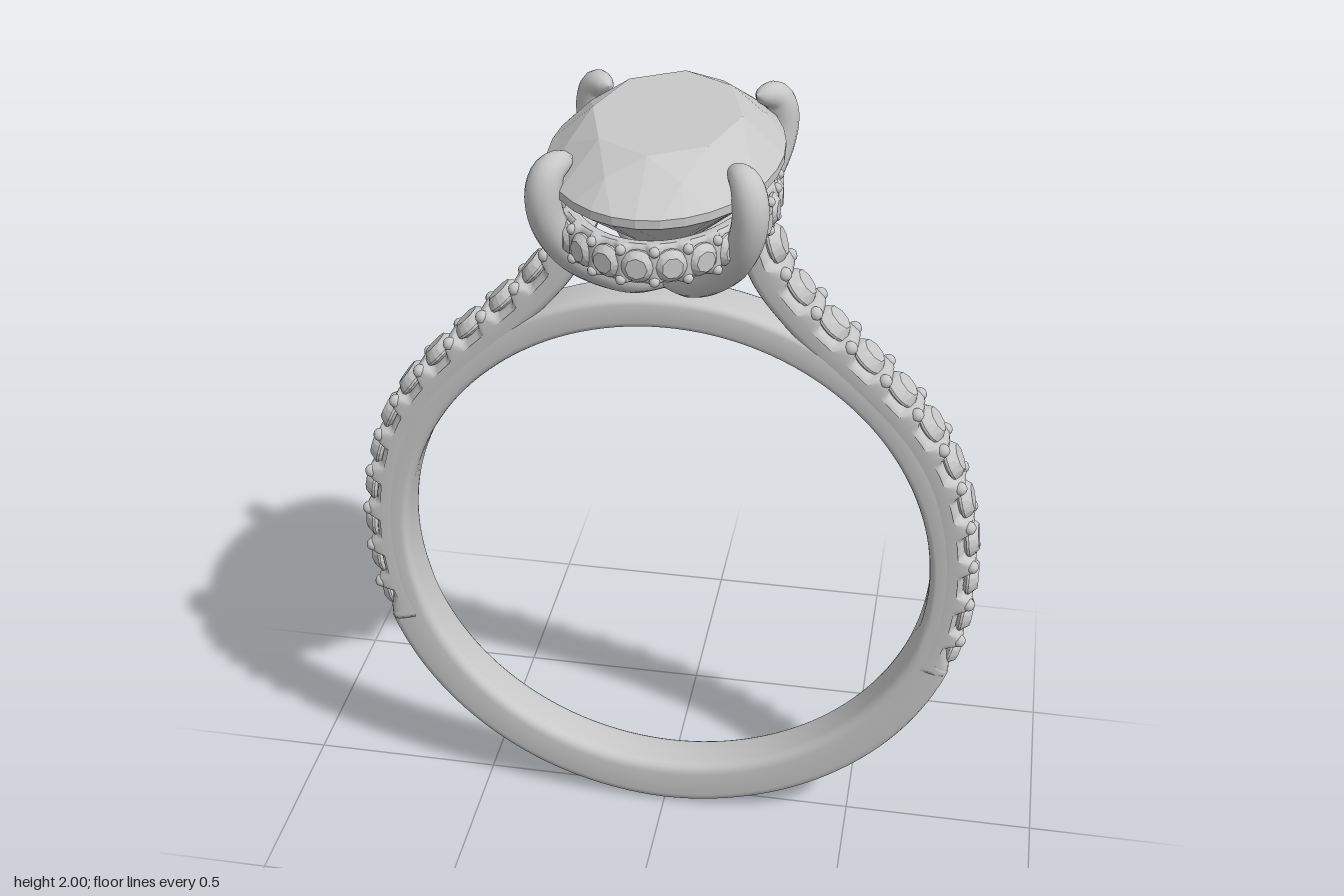
import * as THREE from 'three';

const V = (x, y, z) => new THREE.Vector3(x, y, z);
const metal = new THREE.MeshStandardMaterial({ color: 0xc8c8c8 });
metal.name = 'silver grey';

function mesh(name, geometry) {
  const m = new THREE.Mesh(geometry, metal);
  m.name = name;
  return m;
}

// rounded-rectangle section: w across, v outward, from -depth to 0
function roundedSection(halfW, depth, power = 0.45, count = 24) {
  const soft = (x) => Math.sign(x) * Math.abs(x) ** power;
  return Array.from({ length: count }, (_, j) => {
    const a = (j / count) * Math.PI * 2;
    return [halfW * soft(Math.cos(a)), (depth / 2) * (soft(Math.sin(a)) - 1)];
  });
}

// frame on a curve: point, tangent and outward normal
function frameAt(curve, u, side) {
  const p = curve.getPointAt(u);
  const n = curve.getTangentAt(u).cross(side).normalize();
  return { p, n };
}

// sweep a changing section along a curve that lies square to side
function sweep(curve, side, steps, closed, section) {
  const pos = [], idx = [];
  const rows = closed ? steps : steps + 1;
  let m = 0;
  for (let i = 0; i < rows; i++) {
    const u = i / steps, { p, n } = frameAt(curve, u, side);
    const pts = section(u);
    m = pts.length;
    for (const [w, v] of pts) {
      const q = p.clone().addScaledVector(side, w).addScaledVector(n, v);
      pos.push(q.x, q.y, q.z);
    }
  }
  for (let i = 0; i < steps; i++) {
    for (let j = 0; j < m; j++) {
      const k = (j + 1) % m, r0 = i * m, r1 = ((i + 1) % rows) * m;
      idx.push(r0 + j, r0 + k, r1 + j, r0 + k, r1 + k, r1 + j);
    }
  }
  if (!closed) {
    for (let j = 1; j < m - 1; j++) {
      const e = steps * m;
      idx.push(0, j + 1, j, e, e + j, e + j + 1);
    }
  }
  const g = new THREE.BufferGeometry();
  g.setAttribute('position', new THREE.Float32BufferAttribute(pos, 3));
  g.setIndex(idx);
  g.computeVertexNormals();
  return g;
}

// faceted brilliant-cut stone with its girdle at y = 0
function brilliant(a, b, crown, depth, rim, perEdge) {
  const pos = [];
  const at = (k, s, y) => {
    const t = (k * Math.PI) / 4;
    return V(a * s * Math.cos(t), y, b * s * Math.sin(t));
  };
  const tri = (up, ...pts) => {
    if (!up) pts.reverse();
    for (const q of pts) pos.push(q.x, q.y, q.z);
  };
  // one half: inner ring, middle ring, then girdle
  const half = (up, inS, inY, midS, midY, rimY) => {
    for (let k = 0; k < 8; k++) {
      const t0 = at(k, inS, inY), t1 = at(k + 1, inS, inY), mid = at(k + 0.5, midS, midY);
      const g0 = at(k, 1, rimY), g1 = at(k + 1, 1, rimY);
      if (inS > 0) {
        tri(up, V(0, inY, 0), t1, t0);
        tri(up, t0, t1, mid);
      }
      tri(up, t0, mid, g0);
      tri(up, t1, g1, mid);
      for (let e = 0; e < perEdge; e++) {
        tri(up, mid, at(k + (e + 1) / perEdge, 1, rimY), at(k + e / perEdge, 1, rimY));
      }
    }
  };
  half(true, 0.64, crown, 0.82, rim + (crown - rim) * 0.56, rim);
  half(false, 0, -depth, 0.3, -depth * 0.74, -rim);
  // girdle band
  for (let i = 0; i < 8 * perEdge; i++) {
    const k0 = i / perEdge, k1 = (i + 1) / perEdge;
    const l0 = at(k0, 1, -rim), l1 = at(k1, 1, -rim), h0 = at(k0, 1, rim), h1 = at(k1, 1, rim);
    tri(true, l0, h0, h1);
    tri(true, l0, h1, l1);
  }
  const g = new THREE.BufferGeometry();
  g.setAttribute('position', new THREE.Float32BufferAttribute(pos, 3));
  g.computeVertexNormals();
  return g;
}

// scalloped rail set with a row of small stones and holding beads
function stoneRow(name, curve, side, closed, o) {
  const group = new THREE.Group();
  group.name = name;
  const base = roundedSection(o.halfW, o.depth);
  const rail = sweep(curve, side, o.count * 14, closed, (u) => {
    const f = (u * o.count) % 1;
    const gap = Math.min(f, 1 - f);
    const cut = o.cut * THREE.MathUtils.smoothstep(gap, 0.1, 0.28);
    return base.map(([w, v]) => [w, v > -o.depth * 0.45 ? v - o.sink - cut : v]);
  });
  group.add(mesh(name + 'Rail', rail));
  const gem = brilliant(o.gem, o.gem, o.rise, o.gem * 0.7, 0.003, 2);
  const bead = new THREE.SphereGeometry(o.bead, 10, 8);
  for (let k = 0; k < o.count; k++) {
    const { p, n } = frameAt(curve, (k + 0.5) / o.count, side);
    const stone = mesh('smallStone', gem);
    stone.position.copy(p).addScaledVector(n, -o.rise);
    stone.quaternion.setFromUnitVectors(V(0, 1, 0), n);
    group.add(stone);
    if (k === 0 && !closed) continue;
    const f = frameAt(curve, k / o.count, side);
    for (const s of [-1, 1]) {
      const b = mesh('bead', bead);
      b.position.copy(f.p).addScaledVector(f.n, -o.bead).addScaledVector(side, s * (o.halfW - o.bead));
      group.add(b);
    }
  }
  return group;
}

class Oval extends THREE.Curve {
  constructor(point) { super(); this.point = point; this.arcLengthDivisions = 400; }
  getPoint(t) { return this.point(t * Math.PI * 2); }
}

export function createModel() {
  const root = new THREE.Group();
  root.name = 'ring';
  const Z = V(0, 0, 1), Y = V(0, 1, 0);

  // finger band, thicker at the bottom
  const inner = new Oval((a) => V(0.672 * Math.sin(a), 0.802 - 0.672 * Math.cos(a), 0));
  root.add(mesh('band', sweep(inner, Z, 144, true, (u) => {
    const deg = Math.min(u, 1 - u) * 360;
    const low = 0.13 - 0.014 * Math.min(deg / 70, 1);
    const t = THREE.MathUtils.lerp(low, 0.085, THREE.MathUtils.smoothstep(deg, 70, 76));
    return roundedSection(0.066, t).map(([w, v]) => [w, v + t]);
  })));

  // stone-set shoulders rising from the band to the head
  const outline = [[0.745, 0.53], [0.778, 0.65], [0.793, 0.8], [0.787, 0.92], [0.767, 1.03],
    [0.727, 1.15], [0.67, 1.25], [0.6, 1.335], [0.52, 1.415], [0.43, 1.5], [0.36, 1.57],
    [0.295, 1.655], [0.255, 1.76]];
  const shoulderPath = new THREE.CatmullRomCurve3(outline.map(([x, y]) => V(x, y, 0)));
  ['leftShoulder', 'rightShoulder'].forEach((name, i) => {
    const s = stoneRow(name, shoulderPath, Z, false, {
      halfW: 0.067, depth: 0.1, count: 12, cut: 0.026, sink: 0.008, gem: 0.052, rise: 0.026, bead: 0.017,
    });
    s.rotation.y = i * Math.PI;
    root.add(s);
  });

  // oval gallery of small stones under the main stone
  const galleryPath = new Oval((a) => V(0.265 * Math.cos(a), 1.798, -0.39 * Math.sin(a)));
  root.add(stoneRow('gallery', galleryPath, Y, true, {
    halfW: 0.047, depth: 0.06, count: 26, cut: 0.014, sink: 0.008, gem: 0.038, rise: 0.018, bead: 0.012,
  }));

  // main oval stone
  const stone = mesh('mainStone', brilliant(0.267, 0.395, 0.095, 0.25, 0.01, 4));
  stone.position.y = 1.905;
  root.add(stone);

  // four claws crossing below the stone
  const claw = [[0, 1.605], [0.1, 1.622], [0.2, 1.675], [0.29, 1.75], [0.34, 1.83],
    [0.352, 1.9], [0.332, 1.95], [0.27, 1.968]];
  for (const sx of [-1, 1]) {
    for (const sz of [-1, 1]) {
      const d = V(sx * 0.23, 0, sz * 0.27).normalize();
      const path = new THREE.CatmullRomCurve3(claw.map(([r, y]) => V(d.x * r, y, d.z * r)));
      const side = d.clone().cross(Y);
      root.add(mesh('claw', sweep(path, side, 48, false, (u) => {
        const e = Math.max(0, (u - 0.8) / 0.2);
        const r = 0.041 * Math.sqrt(Math.max(0.002, 1 - e * e));
        return roundedSection(r, 2 * r, 1, 16).map(([w, v]) => [w, v + r]);
      })));
    }
  }
  return root;
}
